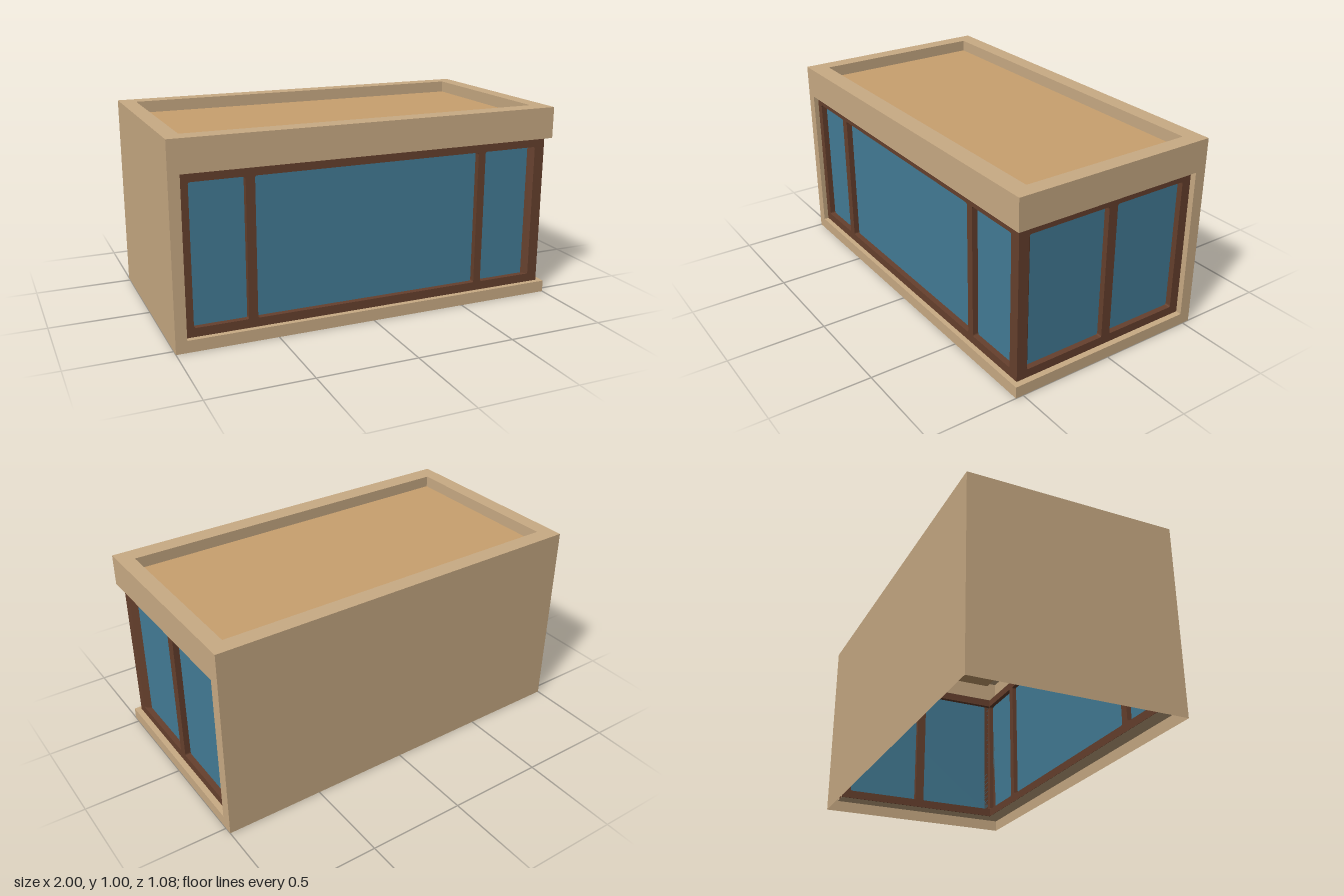
import * as THREE from 'three';

const W = 1, D = 0.54, H = 1;            // half width, half depth, height
const Y0 = 0.06, Y1 = 0.84;              // window opening bottom and top
const P0 = 0.105, P1 = 0.795;            // pane bottom and top
const XJ = -0.945, ZJ = -0.48;           // closed ends of the corner opening
const XF = 0.97, ZF = 0.515, T = 0.055;  // frame outer faces and thickness

const mat = (name, color, side = THREE.DoubleSide) => {
  const m = new THREE.MeshStandardMaterial({ color, side });
  m.name = name;
  return m;
};

// Rectangle path with slightly rounded corners
function roundedHole(x0, x1, y0, y1, r = 0.01) {
  const p = new THREE.Path();
  p.moveTo(x0 + r, y0);
  p.lineTo(x1 - r, y0).quadraticCurveTo(x1, y0, x1, y0 + r);
  p.lineTo(x1, y1 - r).quadraticCurveTo(x1, y1, x1 - r, y1);
  p.lineTo(x0 + r, y1).quadraticCurveTo(x0, y1, x0, y1 - r);
  p.lineTo(x0, y0 + r).quadraticCurveTo(x0, y0, x0 + r, y0);
  return p;
}

const polygon = (pts) => new THREE.Shape(pts.map(([x, y]) => new THREE.Vector2(x, y)));
const rect = (x0, x1, y0, y1) => polygon([[x0, y0], [x1, y0], [x1, y1], [x0, y1]]);

// Frame panel with one opening per pane
function framePanel(x0, x1, panes) {
  const s = rect(x0, x1, Y0 + 0.001, Y1 - 0.001);
  panes.forEach(([a, b]) => s.holes.push(roundedHole(a, b, P0, P1)));
  return new THREE.ExtrudeGeometry(s, { depth: T, bevelEnabled: false, curveSegments: 3 });
}

export function createModel() {
  const model = new THREE.Group();
  model.name = 'cornerWindowBuilding';
  const wall = mat('wall tan', 0xc9ab84);
  const roof = mat('roof tan', 0xc9a06e);
  const wood = mat('frame brown', 0x66402d, THREE.FrontSide);
  const glass = mat('window blue', 0x437c96);

  const add = (name, geo, m) => {
    const mesh = new THREE.Mesh(geo, m);
    mesh.name = name;
    model.add(mesh);
    return mesh;
  };
  // Flat sheets facing z, x and y
  const sheetZ = (name, x0, x1, y0, y1, z, m = wall, back = false) => {
    const g = new THREE.PlaneGeometry(x1 - x0, y1 - y0);
    if (back) g.rotateY(Math.PI);
    return add(name, g.translate((x0 + x1) / 2, (y0 + y1) / 2, z), m);
  };
  const sheetX = (name, z0, z1, y0, y1, x, m = wall, left = false) => {
    const g = new THREE.PlaneGeometry(z1 - z0, y1 - y0).rotateY(left ? -Math.PI / 2 : Math.PI / 2);
    return add(name, g.translate(x, (y0 + y1) / 2, (z0 + z1) / 2), m);
  };
  // Shape drawn in x and -z, laid flat at height y
  const flat = (name, shape, y, m) =>
    add(name, new THREE.ShapeGeometry(shape).rotateX(-Math.PI / 2).translate(0, y, 0), m);

  // Outer walls, hollow and open below
  sheetZ('backWall', -W, W, 0, H, -D, wall, true);
  sheetX('leftWall', -D, D, 0, H, -W, wall, true);
  [['Sill', 0, Y0], ['Lintel', Y1, H]].forEach(([n, a, b]) => {
    sheetZ('front' + n, -W, W, a, b, D);
    sheetX('right' + n, -D, D, a, b, W);
  });
  sheetZ('frontJamb', -W, XJ, Y0, Y1, D);
  sheetX('rightJamb', -D, ZJ, Y0, Y1, W);

  // Reveals around the corner opening
  const xi = XF - T, zi = ZF - T;
  const ledge = polygon([[XJ, -D], [W, -D], [W, -ZJ], [xi, -ZJ], [xi, -zi], [XJ, -zi]]);
  flat('sillLedge', ledge, Y0, wall);
  flat('lintelUnderside', ledge, Y1, wall);
  sheetX('frontReveal', zi, D, Y0, Y1, XJ);
  sheetZ('rightReveal', xi, W, Y0, Y1, ZJ);

  // Parapet and sunken roof
  const rx = 0.92, zb = -0.455, zf = 0.445, ry = 0.94;
  const rim = rect(-W, W, -D, D);
  rim.holes.push(rect(-rx, rx, -zf, -zb));
  flat('parapetRim', rim, H, wall);
  flat('roofDeck', rect(-rx, rx, -zf, -zb), ry, roof);
  sheetZ('parapetBack', -rx, rx, ry, H, zb);
  sheetZ('parapetFront', -rx, rx, ry, H, zf, wall, true);
  sheetX('parapetLeft', zb, zf, ry, H, -rx);
  sheetX('parapetRight', zb, zf, ry, H, rx, wall, true);

  // Window frames on the two glazed sides
  add('frontFrame', framePanel(XJ, XF, [[-0.905, -0.64], [-0.595, 0.58], [0.62, xi]])
    .translate(0, 0, zi), wood);
  add('rightFrame', framePanel(-ZF, -ZJ, [[-zi, -0.02], [0.03, 0.43]])
    .rotateY(Math.PI / 2).translate(xi, 0, 0), wood);

  // Slanted inner edges of the corner post
  const zg = ZF - 0.03, xg = XF - 0.03;
  [
    ['frontPostChamfer', [[xi, -ZF], [xi - 0.025, -zg], [xi, -zg]]],
    ['rightPostChamfer', [[XF, -zi], [xg, -zi], [xg, -zi + 0.025]]],
  ].forEach(([name, pts]) => {
    const g = new THREE.ExtrudeGeometry(polygon(pts), { depth: P1 - P0, bevelEnabled: false });
    add(name, g.rotateX(-Math.PI / 2).translate(0, P0, 0), wood);
  });

  // Glazing set back inside the frames
  sheetZ('frontGlass', XJ + 0.01, xi, Y0 + 0.02, Y1 - 0.02, zg, glass);
  sheetX('rightGlass', ZJ + 0.01, zi, Y0 + 0.02, Y1 - 0.02, xg, glass);

  return model;
}
